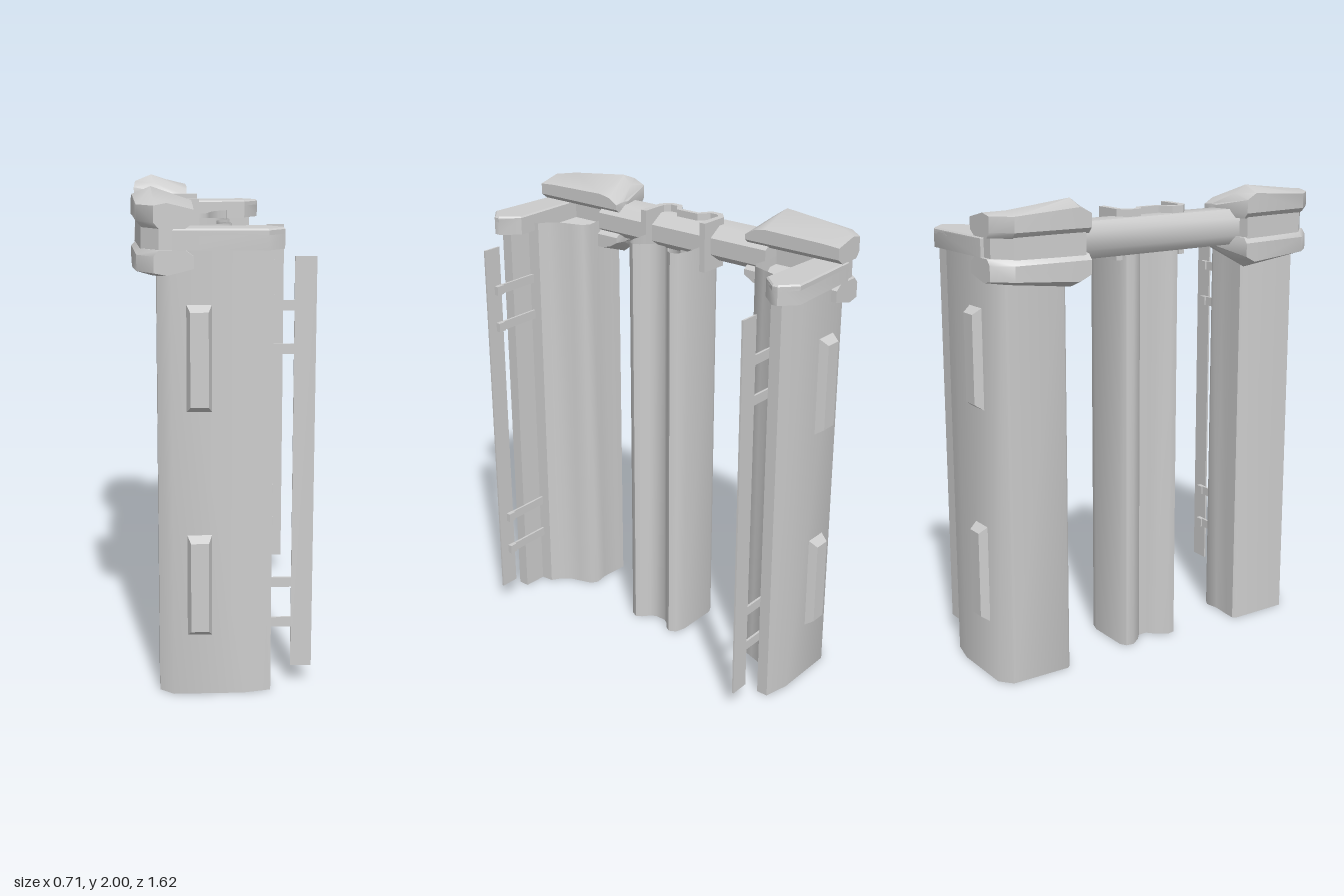
import * as THREE from 'three';
import { toCreasedNormals } from 'three/addons/utils/BufferGeometryUtils.js';

const grey = new THREE.MeshStandardMaterial({ color: 0xcccccc, side: THREE.DoubleSide });
grey.name = 'light grey';

function add(parent, name, geometry) {
  const mesh = new THREE.Mesh(geometry, grey);
  mesh.name = name;
  parent.add(mesh);
  return mesh;
}

function box(parent, name, [x, y, z], [w, h, d]) {
  const mesh = add(parent, name, new THREE.BoxGeometry(w, h, d));
  mesh.position.set(x, y, z);
  return mesh;
}

// Skin a list of equal-length rings of [x, y, z] points, optionally closing the ends
function loft(rings, capped, crease = 0.65) {
  const n = rings[0].length, pos = rings.flat(2), idx = [];
  for (let r = 0; r < rings.length - 1; r++) {
    for (let i = 0; i < n; i++) {
      const j = (i + 1) % n, a = r * n, b = a + n;
      idx.push(a + i, b + j, a + j, a + i, b + i, b + j);
    }
  }
  if (capped) {
    const last = (rings.length - 1) * n;
    for (let i = 1; i < n - 1; i++) idx.push(0, i, i + 1, last, last + i + 1, last + i);
  }
  const g = new THREE.BufferGeometry();
  g.setAttribute('position', new THREE.Float32BufferAttribute(pos, 3));
  g.setIndex(idx);
  return toCreasedNormals(g, crease);
}

// Solid slab with an [x, z] outline between two heights
function slab(outline, y0, y1, bevel = 0) {
  const shape = new THREE.Shape(outline.map(([x, z]) => new THREE.Vector2(x, z)));
  const g = new THREE.ExtrudeGeometry(shape, {
    depth: y1 - y0 - 2 * bevel, bevelEnabled: bevel > 0, bevelSize: bevel,
    bevelThickness: bevel, bevelOffset: -bevel, bevelSegments: 1,
  });
  g.rotateX(Math.PI / 2);
  g.translate(0, y1 - bevel, 0);
  return g;
}

// Hollow, open-ended wall following an [x, z] outline
function wall(outline, y0, y1) {
  return loft([y0, y1].map(y => outline.map(([x, z]) => [x, y, z])), false, 0.8);
}

// One half of a corner cap: sections along z; flip mirrors it below the rail
function capHalf(flip) {
  const sections = [ // z, outer x, outer y, ridge x, ridge y, inner y
    [0.795, -0.27, 1.95, -0.22, 1.96, 1.935],
    [0.72, -0.335, 1.95, -0.27, 1.968, 1.94],
    [0.44, -0.355, 1.97, -0.28, 2.0, 1.945],
    [0.39, -0.36, 1.945, -0.27, 1.965, 1.935],
    [0.347, -0.2, 1.912, -0.17, 1.915, 1.91],
  ];
  const fy = y => (flip ? 3.65 - y : y);
  return loft(sections.map(([z, xo, yo, xr, yr, yi]) => [
    [xo + 0.02, fy(1.865), z], [xo, fy(1.888), z], [xo, fy(yo), z], [xr, fy(yr), z],
    [-0.12, fy(yi), z], [-0.12, fy(1.888), z], [-0.15, fy(1.865), z],
  ]), true, 0.7);
}

// Raised block whose outer face is narrower than its base
function raisedBlock() {
  const g = new THREE.BoxGeometry(0.1, 0.42, 0.04);
  const p = g.attributes.position;
  for (let i = 0; i < p.count; i++) {
    if (p.getZ(i) > 0) p.setXY(i, p.getX(i) * 0.7, p.getY(i) * 0.87);
  }
  const flat = g.toNonIndexed();
  flat.computeVertexNormals();
  return flat;
}

function createSide(name) {
  const side = new THREE.Group();
  side.name = name;

  // Hanging side panel with a narrow front flange and rounded inner bulge
  add(side, 'sidePanel', wall([
    [0.185, 0.745], [0.075, 0.77], [-0.205, 0.77], [-0.26, 0.725], [-0.262, 0.46],
    [-0.25, 0.447], [-0.2, 0.45], [-0.12, 0.457], [-0.06, 0.447], [-0.03, 0.465],
    [-0.012, 0.52], [0.005, 0.575], [0.035, 0.61], [0.075, 0.635], [0.08, 0.69], [0.185, 0.695],
  ], 0, 1.82));
  for (const y of [0.46, 1.37]) {
    add(side, 'raisedBlock', raisedBlock()).position.set(-0.1, y, 0.786);
  }

  // Corner cap: upper and lower blocks joined by a recessed web
  add(side, 'capUpper', capHalf(false));
  add(side, 'capLower', capHalf(true));
  add(side, 'capWeb', slab([
    [-0.25, 0.78], [-0.2, 0.78], [-0.2, 0.38], [-0.343, 0.405], [-0.318, 0.715],
  ], 1.78, 1.87));

  // Arm over the panel: a thin lid with a rim that is open underneath
  const arm = [[-0.2, 0.795], [0.16, 0.81], [0.225, 0.75], [0.225, 0.725], [0.16, 0.652], [-0.2, 0.66]];
  add(side, 'sideArmLid', slab(arm, 1.835, 1.865, 0.006));
  add(side, 'sideArmRim', wall(arm, 1.785, 1.855));

  // Narrow strip on four struts
  box(side, 'edgeStrip', [0.312, 0.915, 0.687], [0.085, 1.67, 0.008]);
  for (const y of [0.265, 0.435, 1.39, 1.56]) {
    box(side, 'stripStrut', [0.165, y, 0.676], [0.23, 0.04, 0.01]);
    box(side, 'strutEnd', [0.293, y, 0.673], [0.035, 0.04, 0.02]);
  }
  return side;
}

export function createModel() {
  const model = new THREE.Group();
  model.name = 'hangingPanelFrame';

  // Mirrored side assemblies
  model.add(createSide('leftAssembly'));
  const other = createSide('rightAssembly');
  other.scale.z = -1;
  model.add(other);

  // Cross rail with chamfered section
  const section = [[-0.27, 1.9], [-0.18, 1.9], [-0.12, 1.86], [-0.12, 1.79],
    [-0.18, 1.75], [-0.27, 1.75], [-0.3, 1.79], [-0.3, 1.86]];
  const rail = loft([0.45, -0.45].map(z => section.map(([x, y]) => [x, y, z])), true);
  add(model, 'crossRail', rail);

  // Central clamp: bent strap over the rail and two end plates
  const mirror = pts => pts.map(([x, z]) => [x, -z]);
  const outer = [[-0.08, 0.172], [-0.21, 0.172], [-0.25, 0.135], [-0.25, 0.08], [-0.2, 0.045]];
  const inner = [[-0.08, 0.145], [-0.2, 0.145], [-0.225, 0.125], [-0.225, 0.09], [-0.18, 0.055]];
  add(model, 'clampStrap', slab([
    ...outer, ...mirror(outer).reverse(), ...mirror(inner), ...inner.slice().reverse(),
  ], 1.88, 1.93));
  for (const z of [-0.158, 0.158]) {
    box(model, 'clampPlate', [-0.145, 1.825, z], [0.13, 0.21, 0.028]);
  }

  // Central hanging panel with two lobes at the front and two at the back
  const lobes = [[0.0, 0.025], [0.015, 0.05], [0.045, 0.075], [0.06, 0.1], [0.045, 0.13],
    [0.0, 0.145], [-0.19, 0.145], [-0.22, 0.13], [-0.225, 0.095], [-0.195, 0.05], [-0.16, 0.02]];
  add(model, 'centrePanel', wall([...lobes, ...mirror(lobes).reverse()].reverse(), 0, 1.825));

  return model;
}
